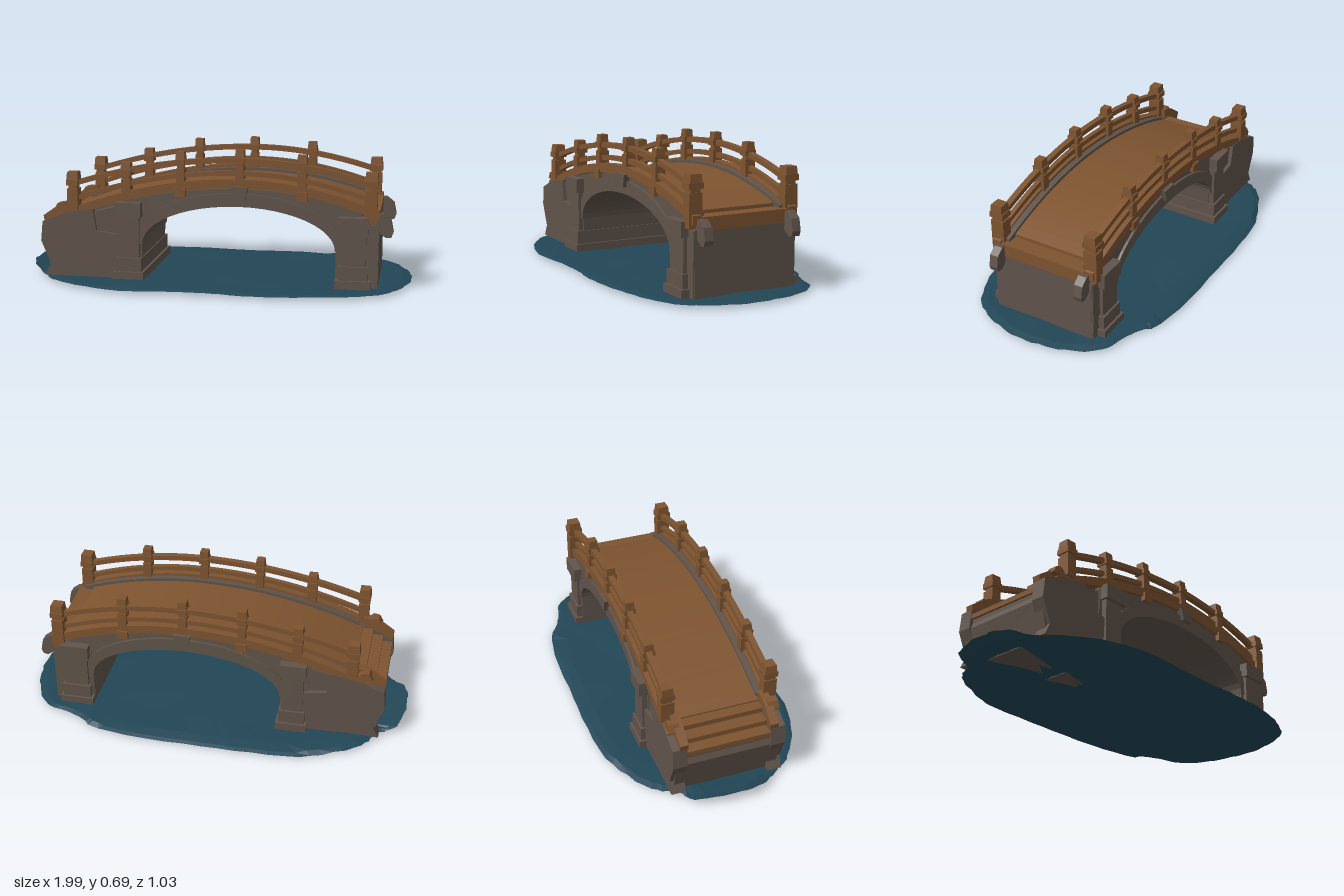
import * as THREE from 'three';

const wood = new THREE.MeshStandardMaterial({ color: 0x7e5430, name: 'wood', flatShading: true });
const stone = new THREE.MeshStandardMaterial({ color: 0x60544b, name: 'stone', flatShading: true });
const water = new THREE.MeshStandardMaterial({ color: 0x224656, name: 'water', flatShading: true });

// Bridge curve: highest at x = 0.14, with its own fall to each side
const arc = (peak, left, right) => x => peak - (x < 0.14 ? left : right) * (x - 0.14) ** 2;
const deckTop = arc(0.515, 0.22, 0.27);
const beamTop = arc(0.545, 0.23, 0.29);
const lowRail = arc(0.585, 0.21, 0.28);
const topRail = arc(0.65, 0.19, 0.25);

export function createModel() {
  const root = new THREE.Group();
  root.name = 'archedBridge';

  const add = (name, geometry, material, parent = root) => {
    const mesh = new THREE.Mesh(geometry, material);
    mesh.name = name;
    parent.add(mesh);
    return mesh;
  };
  const box = (name, material, x0, x1, y0, y1, z0, z1, parent) => {
    const g = new THREE.BoxGeometry(x1 - x0, y1 - y0, z1 - z0);
    g.translate((x0 + x1) / 2, (y0 + y1) / 2, (z0 + z1) / 2);
    return add(name, g, material, parent);
  };
  // Side outline drawn in x and y, extruded from z0 to z1
  const slab = (name, material, points, z0, z1, parent) => {
    const shape = new THREE.Shape(points.map(p => new THREE.Vector2(p[0], p[1])));
    const g = new THREE.ExtrudeGeometry(shape, { depth: z1 - z0, bevelEnabled: false });
    g.translate(0, 0, z0);
    return add(name, g, material, parent);
  };
  const along = (f, x0, x1, n = 24) =>
    Array.from({ length: n + 1 }, (_, i) => {
      const x = x0 + (x1 - x0) * i / n;
      return [x, f(x)];
    });
  // Curved strip between two heights
  const band = (name, material, x0, x1, top, thick, z0, z1, parent) =>
    slab(name, material, [...along(x => top(x) - thick, x0, x1), ...along(top, x1, x0)], z0, z1, parent);

  // Half-ellipse of the vault
  const vault = (rx, ry, base = 0.2) =>
    Array.from({ length: 25 }, (_, i) => {
      const a = Math.PI * (1 - i / 24);
      return [0.13 + rx * Math.cos(a), base + ry * Math.sin(a)];
    });

  // Stone body with the open arch
  slab('spandrelBody', stone, [
    [-0.5, 0.02], [-0.37, 0.02], ...vault(0.49, 0.21), [0.62, 0.02], [0.83, 0.02], [0.83, 0.34],
    [0.76, 0.36], ...along(x => deckTop(x) - 0.02, 0.74, -0.5),
  ], -0.27, 0.27);
  slab('archRing', stone, [...vault(0.487, 0.208), ...vault(0.54, 0.275).reverse()], -0.283, 0.283);
  box('rightAbutment', stone, 0.622, 0.828, 0.02, 0.335, -0.278, 0.278);

  // Piers with plinth, shaft and capital
  const pier = (name, x0, x1, top) => {
    const g = new THREE.Group();
    g.name = name;
    root.add(g);
    box('plinth', stone, x0 - 0.025, x1 + 0.025, 0.015, 0.06, -0.32, 0.32, g);
    box('plinthStep', stone, x0 - 0.012, x1 + 0.012, 0.06, 0.13, -0.308, 0.308, g);
    box('shaft', stone, x0, x1, 0.13, top, -0.297, 0.297, g);
    for (const s of [-1, 1]) {
      box('capital', stone, x0 - 0.012, x1 + 0.012, top - 0.075, top,
        s > 0 ? 0.24 : -0.315, s > 0 ? 0.315 : -0.24, g);
    }
  };
  pier('leftPier', -0.48, -0.37, 0.415);
  pier('rightPier', 0.645, 0.77, 0.375);

  // Left abutment below the stairs
  slab('leftAbutment', stone, [
    [-0.45, 0.02], [-0.45, 0.4], [-0.72, 0.325], [-0.86, 0.25], [-0.88, 0.2], [-0.84, 0.02],
  ], -0.265, 0.265);

  // Deck, right end step and stairs at the left end
  band('deck', wood, -0.72, 0.75, deckTop, 0.03, -0.225, 0.225);
  box('endStep', wood, 0.74, 0.832, 0.333, 0.398, -0.235, 0.235);
  [[-0.775, -0.71, 0.345], [-0.83, -0.765, 0.31], [-0.88, -0.82, 0.275]].forEach(([x0, x1, y]) => {
    box('stairTread', wood, x0, x1, y - 0.025, y, -0.215, 0.215);
    box('stairRiser', stone, x0 + 0.012, x1, y - 0.07, y - 0.025, -0.215, 0.215);
  });

  // Post with collar, neck and tapered cap
  const post = (x, bottom, top, w, z, parent) => {
    const g = new THREE.Group();
    g.name = 'railPost';
    parent.add(g);
    const d = w + 0.012;
    const part = (name, y0, y1, a, b) =>
      box(name, wood, x - a / 2, x + a / 2, y0, y1, z - b / 2, z + b / 2, g);
    part('postShaft', bottom, top - 0.085, w, d);
    part('postNeck', top - 0.085, top - 0.06, w * 0.8, d * 0.75);
    part('postCollar', top - 0.068, top - 0.04, w + 0.008, d + 0.006);
    const cap = new THREE.CylinderGeometry(0.7 * w, 0.8 * w, 0.042, 4);
    cap.rotateY(Math.PI / 4);
    cap.translate(x, top - 0.021, z);
    add('postCap', cap, wood, g);
  };

  // Railing and trim, mirrored to both sides
  const posts = [
    [-0.716, 0.37, 0.56, 0.054], [-0.44, 0.425, 0.615, 0.046], [-0.16, 0.46, 0.675, 0.042],
    [0.14, 0.5, 0.69, 0.042], [0.45, 0.455, 0.672, 0.044], [0.79, 0.345, 0.595, 0.058],
  ];
  for (const s of [1, -1]) {
    const side = new THREE.Group();
    side.name = s > 0 ? 'frontRailing' : 'backRailing';
    root.add(side);
    const flank = (make, name, mat, ...args) => {
      const z1 = args.pop(), z0 = args.pop();
      return make(name, mat, ...args, s > 0 ? z0 : -z1, s > 0 ? z1 : -z0, side);
    };
    flank(band, 'sideBeam', wood, -0.8, 0.83, beamTop, 0.045, 0.238, 0.282);
    flank(band, 'stoneCurb', stone, -0.7, 0.8, x => deckTop(x) + 0.015, 0.05, 0.207, 0.24);
    flank(band, 'lowerRail', wood, -0.73, 0.8, lowRail, 0.024, 0.243, 0.267);
    flank(band, 'topRail', wood, -0.73, 0.8, topRail, 0.027, 0.24, 0.27);
    posts.forEach(([x, bottom, top, w], i) =>
      post(x, bottom, top, w, s * (i % 5 === 0 ? 0.26 : 0.253), side));

    // Keystone and small brackets
    flank(slab, 'keystone', stone, [[0.095, 0.51], [0.11, 0.445], [0.17, 0.445], [0.185, 0.51]], 0.25, 0.302);
    for (const [x, y] of [[-0.16, 0.475], [0.45, 0.47]]) {
      flank(box, 'bracket', wood, x - 0.028, x + 0.028, y - 0.025, y + 0.02, 0.24, 0.292);
    }
    // Rounded curb end on the right
    flank(slab, 'curbScroll', stone, [
      [0.78, 0.39], [0.8, 0.33], [0.84, 0.29], [0.865, 0.272], [0.89, 0.275], [0.9, 0.3], [0.888, 0.36], [0.85, 0.39],
    ], 0.215, 0.26);
    // Wing wall with a sloping notch beside the pier
    flank(slab, 'wingWall', stone, [
      [-0.45, 0.02], [-0.45, 0.24], [-0.595, 0.26], [-0.615, 0.375], [-0.76, 0.35],
      [-0.88, 0.3], [-0.89, 0.2], [-0.84, 0.08], [-0.87, 0.02],
    ], 0.212, 0.285);
    // Sloping handrail end beside the stairs
    flank(slab, 'stairRail', wood, [
      [-0.72, 0.37], [-0.72, 0.41], [-0.77, 0.4], [-0.8, 0.385], [-0.885, 0.325], [-0.88, 0.295],
    ], 0.207, 0.25);
    flank(slab, 'stairRailKnob', wood, [
      [-0.82, 0.36], [-0.8, 0.395], [-0.77, 0.4], [-0.745, 0.38], [-0.75, 0.35],
    ], 0.225, 0.278);
  }

  // Water: a thin closed sheet lofted from a ragged outline
  const outline = [
    [1, 0], [0.97, 0.18], [0.87, 0.36], [0.62, 0.47], [0.25, 0.51], [0, 0.495], [-0.5, 0.5], [-0.8, 0.36],
    [-0.9, 0.24], [-0.98, 0.14], [-1, 0], [-0.96, -0.2], [-0.87, -0.24], [-0.8, -0.36], [-0.5, -0.5],
    [0, -0.52], [0.55, -0.49], [0.7, -0.41], [0.87, -0.35], [0.96, -0.2],
  ].map(([x, z]) => new THREE.Vector3(x, 0, z));
  const rim = new THREE.CatmullRomCurve3(outline, true, 'centripetal');
  const n = 120;
  const rings = [[0, 0.02], [0.3, 0.02], [0.6, 0.02], [0.85, 0.021], [0.96, 0.021], [1, 0.014], [0.95, 0.01], [0, 0.008]];
  const positions = [], index = [];
  rings.forEach(([r, y]) => {
    for (let i = 0; i < n; i++) {
      const p = rim.getPoint(i / n);
      const ragged = r > 0.9 ? 1 - 0.007 * (1 + Math.sin(i * 2.3) * Math.cos(i * 0.9)) : 1;
      const x = p.x * r * ragged, z = p.z * r * ragged;
      const ripple = 0.003 * Math.sin(x * 9 + z * 5) * Math.cos(z * 11) * (r > 0 ? 1 : 0);
      const lift = Math.max(0, -x - 0.9) * 0.45;
      positions.push(x, Math.max(0, y + ripple + lift - (z < -0.46 ? 0.008 : 0)), z);
    }
  });
  for (let j = 0; j < rings.length - 1; j++) {
    for (let i = 0; i < n; i++) {
      const a = j * n + i, b = j * n + (i + 1) % n;
      index.push(a, b, a + n, b, b + n, a + n);
    }
  }
  const sheet = new THREE.BufferGeometry();
  sheet.setAttribute('position', new THREE.Float32BufferAttribute(positions, 3));
  sheet.setIndex(index);
  sheet.computeVertexNormals();
  add('water', sheet, water);

  return root;
}
